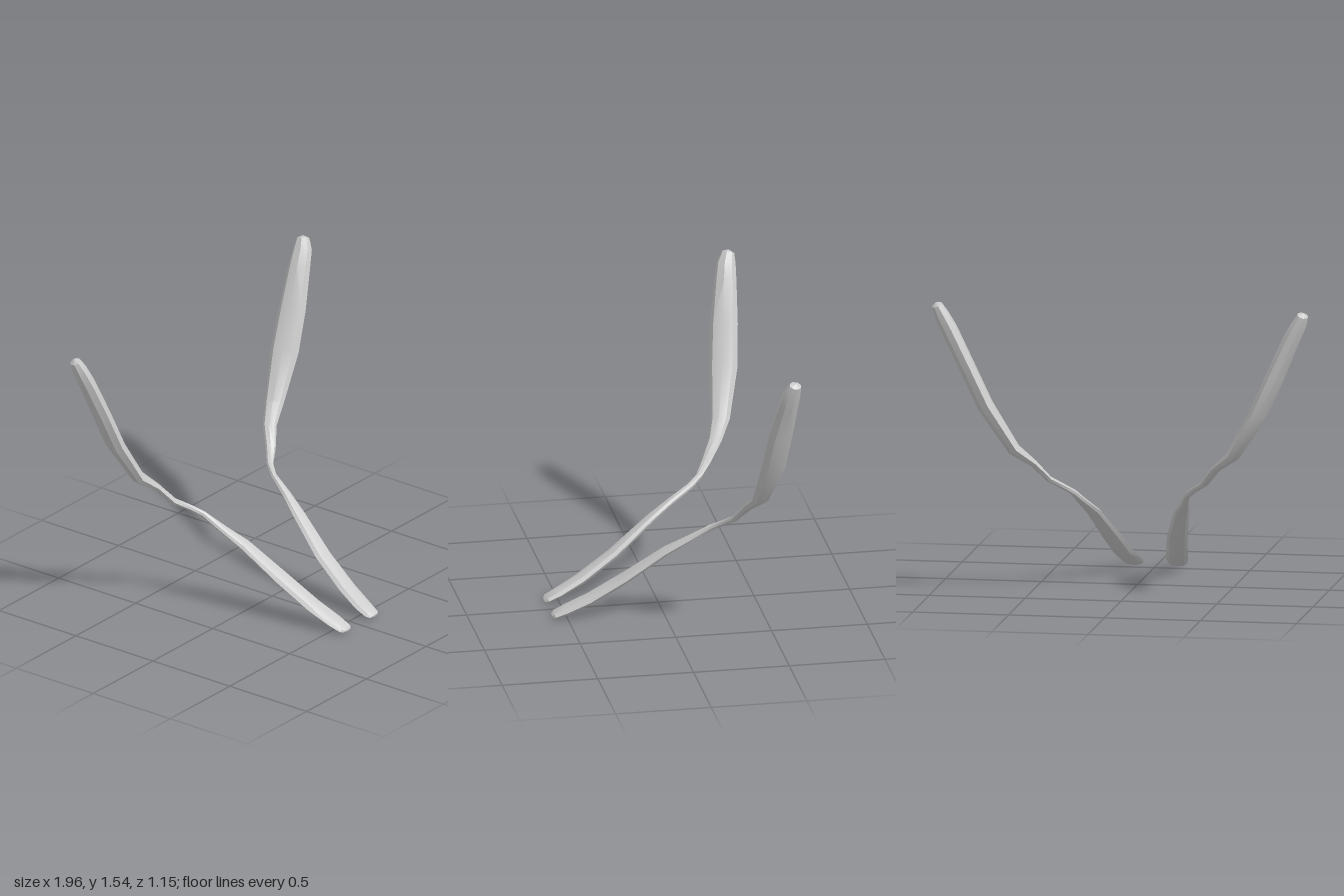
import * as THREE from 'three';
import { toCreasedNormals } from 'three/addons/utils/BufferGeometryUtils.js';

const SIDES = 8;

// Stations along one strand: centre x, y, z, half width, half thickness, twist (0 = lower blade, 1 = upper blade)
const STATIONS = [
  [0.112, 0.014, 0.574, 0.030, 0.010, 0],
  [0.112, 0.022, 0.560, 0.048, 0.017, 0],
  [0.119, 0.048, 0.500, 0.056, 0.021, 0],
  [0.140, 0.108, 0.380, 0.056, 0.024, 0],
  [0.173, 0.225, 0.200, 0.053, 0.023, 0],
  [0.228, 0.378, 0.000, 0.040, 0.020, 0],
  [0.266, 0.448, -0.110, 0.027, 0.018, 0],
  [0.295, 0.515, -0.220, 0.015, 0.018, 0.2],
  [0.335, 0.552, -0.275, 0.018, 0.015, 0.5],
  [0.405, 0.600, -0.325, 0.026, 0.016, 0.8],
  [0.475, 0.690, -0.385, 0.036, 0.019, 1],
  [0.570, 0.768, -0.430, 0.050, 0.033, 1],
  [0.712, 1.000, -0.472, 0.075, 0.043, 1],
  [0.802, 1.200, -0.492, 0.072, 0.043, 1],
  [0.892, 1.400, -0.516, 0.058, 0.043, 1],
  [0.932, 1.480, -0.527, 0.050, 0.038, 1],
  [0.954, 1.530, -0.541, 0.034, 0.028, 1],
];
const LOWER_WIDTH = new THREE.Vector3(1, 0, 0);
const UPPER_WIDTH = new THREE.Vector3(0.28, -0.15, 0.95);

// Lofts flattened eight-sided sections along the stations; side = -1 mirrors the strand
function strandGeometry(side) {
  const centres = STATIONS.map(([x, y, z]) => new THREE.Vector3(x, y, z));
  const last = centres.length - 1;
  const positions = [];
  const index = [];
  const put = (p) => positions.push(p.x * side, p.y, p.z);
  const tri = (a, b, c) => (side > 0 ? index.push(a, b, c) : index.push(a, c, b));

  STATIONS.forEach(([, , , halfWidth, halfThick, twist], i) => {
    const tangent = centres[Math.min(i + 1, last)].clone().sub(centres[Math.max(i - 1, 0)]).normalize();
    const w = LOWER_WIDTH.clone().lerp(UPPER_WIDTH, twist);
    w.addScaledVector(tangent, -w.dot(tangent)).normalize();
    const n = tangent.clone().cross(w);
    for (let j = 0; j < SIDES; j++) {
      const a = (j / SIDES) * Math.PI * 2;
      put(centres[i].clone()
        .addScaledVector(w, halfWidth * Math.cos(a))
        .addScaledVector(n, halfThick * Math.sin(a)));
    }
  });

  // Skin between neighbouring sections
  for (let i = 0; i < last; i++) {
    for (let j = 0; j < SIDES; j++) {
      const k = (j + 1) % SIDES;
      const a = i * SIDES + j, b = i * SIDES + k;
      tri(a, b, a + SIDES);
      tri(b, b + SIDES, a + SIDES);
    }
  }

  // Slightly domed end caps
  const foot = positions.length / 3;
  put(centres[0].clone().add(new THREE.Vector3(0, -0.002, 0.004)));
  put(centres[last].clone().add(new THREE.Vector3(0.006, 0.012, -0.004)));
  for (let j = 0; j < SIDES; j++) {
    const k = (j + 1) % SIDES;
    tri(foot, k, j);
    tri(foot + 1, last * SIDES + j, last * SIDES + k);
  }

  const geometry = new THREE.BufferGeometry();
  geometry.setAttribute('position', new THREE.Float32BufferAttribute(positions, 3));
  geometry.setIndex(index);
  return toCreasedNormals(geometry, THREE.MathUtils.degToRad(32));
}

export function createModel() {
  const group = new THREE.Group();
  group.name = 'twistedStrands';
  const material = new THREE.MeshStandardMaterial({ color: 0xcccccc });
  for (const [name, side] of [['leftStrand', 1], ['rightStrand', -1]]) {
    const mesh = new THREE.Mesh(strandGeometry(side), material);
    mesh.name = name;
    group.add(mesh);
  }
  return group;
}
